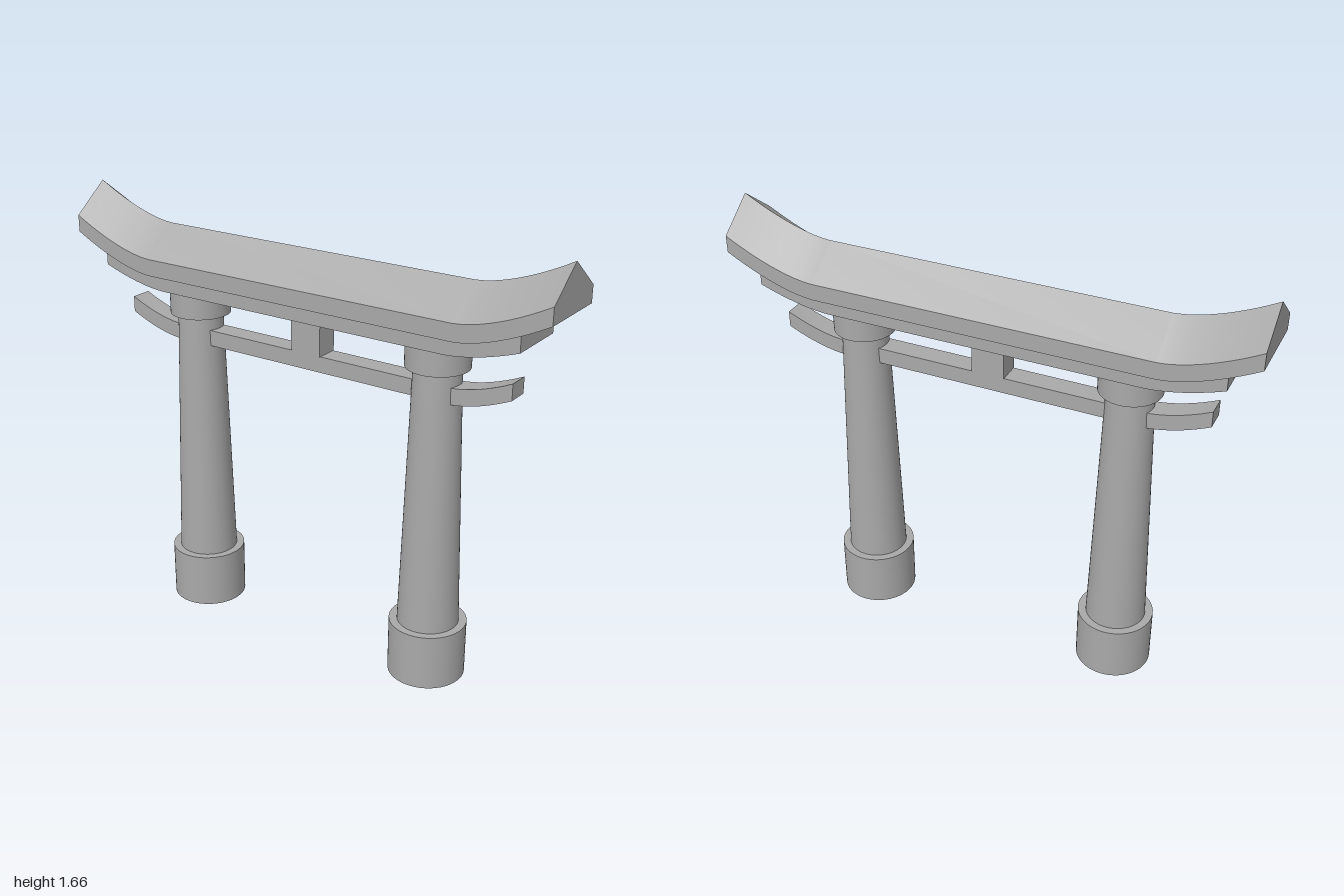
import * as THREE from 'three';
import { toCreasedNormals } from 'three/addons/utils/BufferGeometryUtils.js';

const stone = new THREE.MeshStandardMaterial({ color: 0xa9a9a9 });
stone.name = 'grey stone';

// Sweep a counter-clockwise [x, y] profile along z; its ends curve upward beyond `flat`.
function upturnedBeam(profile, half, flat, rise, power) {
  const steps = 10, stations = [];
  for (let i = 0; i <= steps; i++) stations.push(flat + (half - flat) * i / steps);
  const zs = [...stations.map(z => -z).reverse(), ...stations];
  const n = profile.length, pos = [], index = [];
  for (const z of zs) {
    const lift = rise * Math.pow(Math.max(0, (Math.abs(z) - flat) / (half - flat)), power);
    for (const [x, y] of profile) pos.push(x, y + lift, z);
  }
  for (let i = 0; i < zs.length - 1; i++) {
    for (let j = 0; j < n; j++) {
      const a = i * n + j, b = i * n + (j + 1) % n;
      index.push(a, b, b + n, a, b + n, a + n);
    }
  }
  // End caps
  const last = (zs.length - 1) * n;
  for (let j = 1; j < n - 1; j++) {
    index.push(0, j + 1, j);
    index.push(last, last + j, last + j + 1);
  }
  const geo = new THREE.BufferGeometry();
  geo.setAttribute('position', new THREE.Float32BufferAttribute(pos, 3));
  geo.setIndex(index);
  return toCreasedNormals(geo, Math.PI / 6);
}

const rect = (w, y0, y1) => [[-w, y0], [w, y0], [w, y1], [-w, y1]];

export function createModel() {
  const model = new THREE.Group();
  model.name = 'gate';
  const add = (name, geo, parent = model) => {
    const mesh = new THREE.Mesh(geo, stone);
    mesh.name = name;
    parent.add(mesh);
    return mesh;
  };
  const drum = (name, rTop, rBottom, y0, y1, parent) => {
    add(name, new THREE.CylinderGeometry(rTop, rBottom, y1 - y0, 48), parent).position.y = (y0 + y1) / 2;
  };

  // Two tapered pillars with a base drum and a collar
  for (const side of [1, -1]) {
    const pillar = new THREE.Group();
    pillar.name = side > 0 ? 'frontPillar' : 'backPillar';
    pillar.position.z = side * 0.524;
    drum('base', 0.145, 0.145, 0, 0.216, pillar);
    drum('shaft', 0.086, 0.115, 0.216, 1.22, pillar);
    drum('collar', 0.116, 0.116, 1.218, 1.312, pillar);
    model.add(pillar);
  }

  // Tie beam and the short strut above it
  add('tieBeam', upturnedBeam(rect(0.042, 1.104, 1.165), 0.83, 0.59, 0.067, 1.7));
  add('centreStrut', new THREE.BoxGeometry(0.09, 0.15, 0.126)).position.y = 1.239;

  // Lintel under the ridged roof beam
  add('lintel', upturnedBeam(rect(0.12, 1.31, 1.369), 0.885, 0.6, 0.062, 1.7));
  add('roofBeam', upturnedBeam(
    [[-0.145, 1.37], [0.145, 1.37], [0.145, 1.434], [0, 1.545], [-0.145, 1.434]],
    1, 0.65, 0.12, 1.6));

  return model;
}
